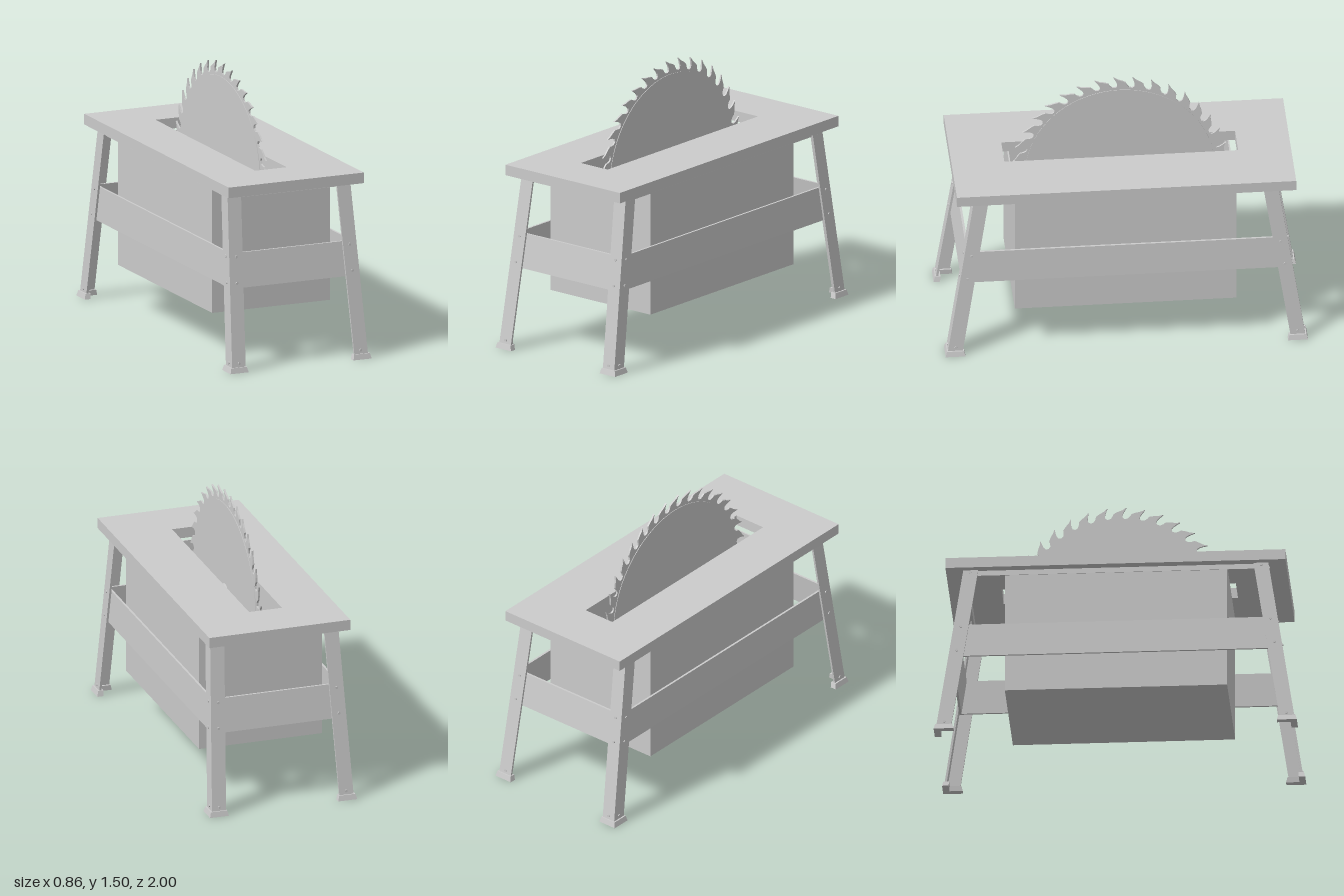
import * as THREE from 'three';

const mat = new THREE.MeshStandardMaterial({ color: 0xcccccc, flatShading: true });
const smoothMat = new THREE.MeshStandardMaterial({ color: 0xcccccc });
const TOP = 0.98; // underside of the table top

// Outer corner of a leg at height y (legs splay outwards towards the floor)
const legX = (y) => 0.413 - 0.041 * y / TOP;
const legZ = (y) => 0.99 - 0.15 * y / TOP;

function add(parent, name, geometry, material = mat) {
  const mesh = new THREE.Mesh(geometry, material);
  mesh.name = name;
  parent.add(mesh);
  return mesh;
}

const plan = (pts) => pts.map(([x, z]) => new THREE.Vector2(x, -z));
// Counter-clockwise, so that hole walls face into the hole
const rect = (w0, w1, d) => plan([[w0, d], [w1, d], [w1, -d], [w0, -d]]);

// Upright prism from an x-z outline; move(v) may shift each vertex
function prism(outline, y0, y1, { hole = null, move = null } = {}) {
  const shape = new THREE.Shape(outline);
  if (hole) shape.holes.push(new THREE.Path(hole));
  const g = new THREE.ExtrudeGeometry(shape, { depth: y1 - y0, bevelEnabled: false });
  g.rotateX(-Math.PI / 2).translate(0, y0, 0);
  if (move) {
    const p = g.attributes.position, v = new THREE.Vector3();
    for (let i = 0; i < p.count; i++) {
      move(v.fromBufferAttribute(p, i));
      p.setXYZ(i, v.x, v.y, v.z);
    }
    g.computeVertexNormals();
  }
  return g;
}

// Lean a vertex inwards along with the legs
function splay(v) {
  v.x += Math.sign(v.x) * (legX(v.y) - legX(0));
  v.z += Math.sign(v.z) * (legZ(v.y) - legZ(0));
}

// Narrow the top of a foot around its middle
function taperFoot(v) {
  if (v.y < 0.02) return;
  const cx = Math.sign(v.x) * 0.373, cz = Math.sign(v.z) * 0.945;
  v.x = cx + (v.x - cx) * 0.86;
  v.z = cz + (v.z - cz) * 0.86;
}

// L-shaped outline with its outer corner at (x, z)
function angleOutline(x, z, arm, t, sx, sz) {
  return plan([[x, z], [x - arm, z], [x - arm, z - t], [x - t, z - t], [x - t, z - arm], [x, z - arm]]
    .map(([a, b]) => [a * sx, b * sz]));
}

// Four-sided frame sitting against the inside of the legs
function frame(y0, y1) {
  const x = legX(0) - 0.012, z = legZ(0) - 0.012, t = 0.012;
  return prism(rect(-x, x, z), y0, y1, { hole: rect(-x + t, x - t, z - t), move: splay });
}

function createLeg(sx, sz) {
  const leg = new THREE.Group();
  leg.name = `${sz > 0 ? 'front' : 'back'}${sx > 0 ? 'Left' : 'Right'}Leg`;
  add(leg, 'legAngle', prism(angleOutline(legX(0), legZ(0), 0.082, 0.012, sx, sz), 0, TOP, { move: splay }));
  add(leg, 'foot', prism(angleOutline(0.428, 1.0, 0.11, 0.036, sx, sz), 0, 0.03, { move: taperFoot }));
  // Hexagonal bolt heads on both faces of the angle
  for (const y of [0.05, 0.488, 0.632, 0.966]) {
    const x = legX(y), z = legZ(y);
    const head = () => new THREE.CylinderGeometry(0.008, 0.008, 0.01, 6);
    add(leg, 'bolt', head().rotateX(Math.PI / 2)).position.set(sx * (x - 0.042), y, sz * z);
    add(leg, 'bolt', head().rotateZ(Math.PI / 2)).position.set(sx * x, y, sz * (z - 0.04));
  }
  return leg;
}

function createBlade() {
  const blade = new THREE.Group();
  blade.name = 'sawBlade';
  blade.position.set(-0.014, 0.898, 0);

  // One hooked tooth: [degrees, radius], repeated round the rim
  const tooth = [[0, 0.602], [2, 0.587], [4.5, 0.577], [6.8, 0.566], [7.6, 0.55],
    [8.8, 0.537], [10.6, 0.534], [11.9, 0.544], [11.8, 0.561], [11, 0.581]];
  const count = 36, pts = [];
  for (let i = 0; i < count; i++) {
    for (const [deg, r] of tooth) {
      const a = THREE.MathUtils.degToRad(deg - 3.4 + i * 360 / count);
      pts.push(new THREE.Vector2(Math.sin(a) * r, Math.cos(a) * r));
    }
  }
  const rim = new THREE.ExtrudeGeometry(new THREE.Shape(pts), { depth: 0.01, bevelEnabled: false });
  add(blade, 'toothedRim', rim.translate(0, 0, -0.005).rotateY(Math.PI / 2));

  // Round parts along the x axis: [name, radius at -x, radius at +x, x0, x1, sides]
  for (const [name, r0, r1, x0, x1, sides] of [
    ['bladeDisc', 0.522, 0.522, -0.008, 0.008, 72],
    ['axle', 0.028, 0.028, -0.335, -0.008, 24],
    ['flange', 0.055, 0.03, 0.008, 0.022, 24],
    ['axleNut', 0.02, 0.02, 0.022, 0.038, 6],
  ]) {
    const g = new THREE.CylinderGeometry(r1, r0, x1 - x0, sides).rotateZ(-Math.PI / 2);
    add(blade, name, g, sides > 6 ? smoothMat : mat).position.x = (x0 + x1) / 2;
  }
  return blade;
}

export function createModel() {
  const model = new THREE.Group();
  model.name = 'tableSaw';

  // Table top with the blade slot
  add(model, 'tableTop', prism(rect(-0.41, 0.41, 0.936), TOP, 1.04, { hole: rect(-0.113, 0.078, 0.645) }));

  // Legs, the rails tying them together and the frame under the top
  for (const sx of [1, -1]) for (const sz of [1, -1]) model.add(createLeg(sx, sz));
  add(model, 'rails', frame(0.457, 0.65));
  add(model, 'topFrame', frame(0.95, TOP));

  // Open-topped dust box around the lower half of the blade
  const box = new THREE.Group();
  box.name = 'dustBox';
  const w = 0.358, d = 0.612, t = 0.008;
  const inner = rect(-w + t, w - t, d - t);
  add(box, 'boxWalls', prism(rect(-w, w, d), 0.253, TOP, { hole: inner }));
  add(box, 'boxFloor', prism(inner, 0.253, 0.253 + t));
  model.add(box);

  model.add(createBlade());
  return model;
}
